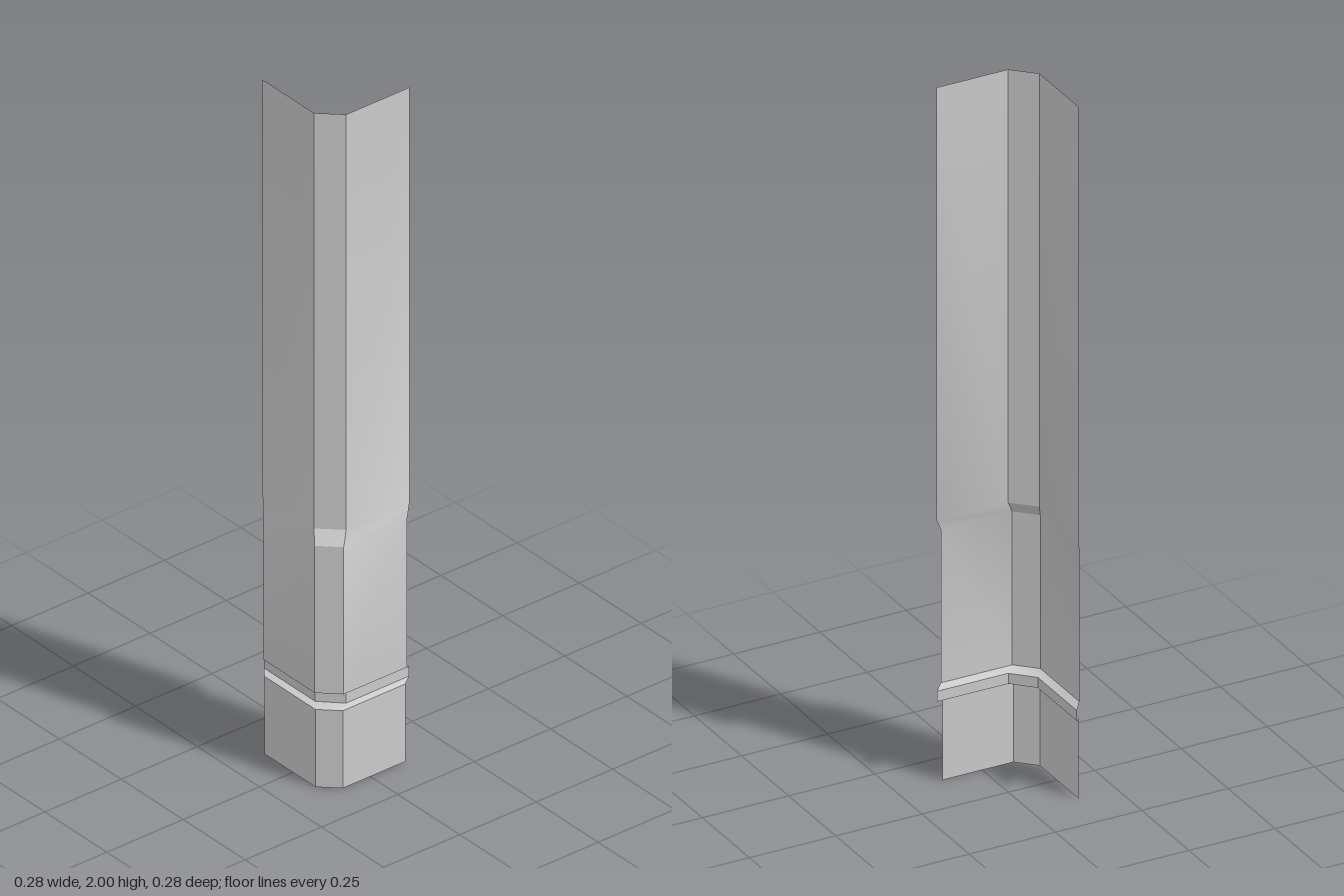
import * as THREE from 'three';
import { toCreasedNormals } from 'three/addons/utils/BufferGeometryUtils.js';

// Plan outlines [x, z] of the thin sheet, from the right end round the chamfered corner to the rear end
const UPPER = [[-0.14, 0.126], [0.067, 0.126], [0.124, 0.067], [0.124, -0.14]];
const LOWER = [[-0.12, 0.14], [0.087, 0.14], [0.139, 0.087], [0.139, -0.12]];
const FOOT = [[-0.116, 0.14], [0.09, 0.14], [0.139, 0.09], [0.139, -0.115]];
const GROOVE = [[-0.14, 0.122], [0.067, 0.122], [0.123, 0.067], [0.123, -0.14]];

// Skin a sheet over levels [height, outline], listed from the bottom up
function sheet(name, levels) {
  const positions = [];
  const point = (l, i) => [levels[l][1][i][0], levels[l][0], levels[l][1][i][1]];
  for (let l = 0; l < levels.length - 1; l++) {
    for (let i = 0; i < 3; i++) {
      const a = point(l, i), b = point(l, i + 1), c = point(l + 1, i + 1), d = point(l + 1, i);
      positions.push(...a, ...b, ...c, ...a, ...c, ...d);
    }
  }
  const geometry = new THREE.BufferGeometry();
  geometry.setAttribute('position', new THREE.Float32BufferAttribute(positions, 3));
  const material = new THREE.MeshStandardMaterial({ color: 0xcccccc, side: THREE.DoubleSide });
  const mesh = new THREE.Mesh(toCreasedNormals(geometry, 0.5), material);
  mesh.name = name;
  return mesh;
}

export function createModel() {
  const group = new THREE.Group();
  group.name = 'cornerTrim';
  // Plain foot below the groove
  group.add(sheet('foot', [[0, FOOT], [0.232, FOOT]]));
  // Recessed band pressed into the sheet
  group.add(sheet('grooveBand', [[0.232, FOOT], [0.238, GROOVE], [0.268, GROOVE], [0.28, LOWER]]));
  // Wider lower section, sloping shoulder and tall upper section
  group.add(sheet('cornerPost', [[0.28, LOWER], [0.72, LOWER], [0.757, UPPER], [2, UPPER]]));
  return group;
}
